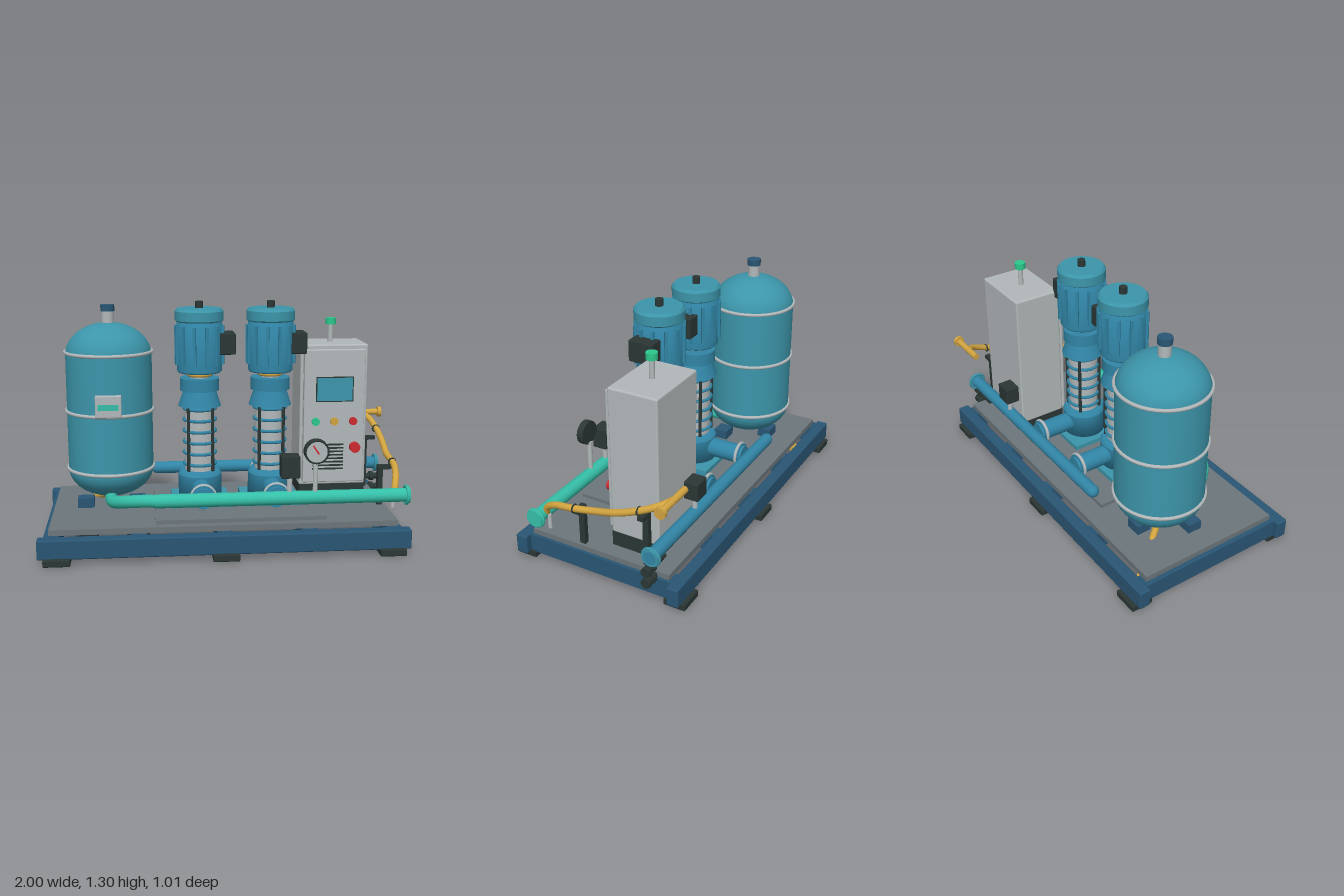
import * as THREE from 'three';
import { RoundedBoxGeometry } from 'three/addons/geometries/RoundedBoxGeometry.js';

const mat = (name, color) => {
  const m = new THREE.MeshStandardMaterial({ color });
  m.name = name;
  return m;
};

export function createModel() {
  const teal = mat('teal', 0x3c95aa), blue = mat('pump blue', 0x3185a6), navy = mat('navy', 0x2a5674);
  const deckGrey = mat('deck grey', 0x6d767b), turquoise = mat('turquoise', 0x35bfa8);
  const green = mat('signal green', 0x2cc88c), grey = mat('light grey', 0xb2b8ba);
  const black = mat('black', 0x2b3735), yellow = mat('yellow', 0xd2a440), red = mat('red', 0xcc2b30);

  const model = new THREE.Group();
  const group = (name, parent = model) => {
    const g = new THREE.Group();
    g.name = name;
    parent.add(g);
    return g;
  };
  const add = (name, geo, m, x, y, z, parent = model) => {
    const mesh = new THREE.Mesh(geo, m);
    mesh.name = name;
    mesh.position.set(x, y, z);
    parent.add(mesh);
    return mesh;
  };
  const box = (name, m, w, h, d, x, y, z, parent, round = 0) =>
    add(name, round ? new RoundedBoxGeometry(w, h, d, 2, round) : new THREE.BoxGeometry(w, h, d), m, x, y, z, parent);
  // Cylinder centred on a point, along the chosen axis
  const cyl = (name, m, r, len, x, y, z, axis = 'y', parent, r2 = r) => {
    const g = new THREE.CylinderGeometry(r, r2, len, 32);
    if (axis === 'x') g.rotateZ(-Math.PI / 2);
    if (axis === 'z') g.rotateX(Math.PI / 2);
    return add(name, g, m, x, y, z, parent);
  };
  const ring = (name, m, r, tube, x, y, z, axis = 'y', parent) => {
    const g = new THREE.TorusGeometry(r, tube, 8, 40);
    if (axis === 'y') g.rotateX(Math.PI / 2);
    if (axis === 'x') g.rotateY(Math.PI / 2);
    return add(name, g, m, x, y, z, parent);
  };
  const pipe = (name, m, r, pts, parent) => add(name, new THREE.TubeGeometry(
    new THREE.CatmullRomCurve3(pts.map(p => new THREE.Vector3(...p))), 48, r, 16), m, 0, 0, 0, parent);
  const lathe = (name, m, pts, x, y, z, parent) =>
    add(name, new THREE.LatheGeometry(pts.map(p => new THREE.Vector2(...p)), 40), m, x, y, z, parent);

  // Skid frame: rails, cross beams, feet and deck
  const frame = group('skidFrame');
  for (const s of [-1, 1]) {
    box('sideRail', navy, 1.95, 0.105, 0.065, -0.025, 0.083, s * 0.452, frame, 0.008);
    for (const x of [-0.9, -0.03, 0.85]) box('foot', black, 0.14, 0.038, 0.12, x, 0.019, s * 0.447, frame, 0.006);
  }
  for (const x of [-0.93, -0.48, -0.03, 0.42, 0.87])
    box('crossBeam', navy, 0.08, 0.1, 0.86, x, 0.083, 0, frame);
  box('deck', deckGrey, 1.84, 0.03, 0.815, -0.025, 0.15, 0, frame);
  box('pumpPlinth', deckGrey, 0.91, 0.02, 0.66, 0.065, 0.175, 0.03, frame);

  // Pressure tank with domed ends
  const tank = group('pressureTank');
  const tx = -0.63, tz = -0.1, R = 0.237, profile = [];
  for (let i = 0; i <= 10; i++) {
    const a = (i / 10) * Math.PI / 2;
    profile.push([R * Math.sin(a), 0.365 - 0.16 * Math.cos(a)]);
  }
  for (let i = 0; i <= 10; i++) {
    const a = (i / 10) * Math.PI / 2;
    profile.push([R * Math.cos(a), 1.0 + 0.18 * Math.sin(a)]);
  }
  lathe('tankShell', teal, profile, tx, 0, tz, tank);
  for (const y of [0.37, 0.695, 1.02]) ring('tankBand', grey, R + 0.002, 0.01, tx, y, tz, 'y', tank);
  cyl('tankNeck', grey, 0.033, 0.08, tx, 1.21, tz, 'y', tank);
  cyl('tankCap', navy, 0.038, 0.035, tx, 1.258, tz, 'y', tank);
  box('namePlate', grey, 0.14, 0.12, 0.04, tx, 0.755, 0.138, tank, 0.006);
  box('namePlateStrip', turquoise, 0.11, 0.032, 0.006, tx, 0.752, 0.16, tank);
  for (const [x, z] of [[-0.77, 0], [-0.485, 0], [-0.63, -0.225]]) {
    box('tankLeg', navy, 0.09, 0.185, 0.08, x, 0.125, z, tank);
    box('tankPad', black, 0.13, 0.038, 0.115, x, 0.019, z, tank, 0.006);
  }
  pipe('drainPipe', yellow, 0.018,
    [[tx, 0.21, tz], [-0.69, 0.18, -0.16], [-0.77, 0.12, -0.27], [-0.81, 0.06, -0.32], [-0.81, 0.01, -0.325]], tank);
  cyl('drainFlange', yellow, 0.033, 0.022, -0.81, 0.012, -0.325, 'y', tank);

  // Two vertical multistage pumps
  for (const px of [-0.135, 0.255]) {
    const p = group('pump');
    p.position.set(px, 0, 0.01);
    box('basePlate', teal, 0.316, 0.025, 0.3, 0, 0.197, -0.005, p);
    lathe('pumpBase', blue, [[0, 0.2], [0.12, 0.2], [0.12, 0.345], [0.12, 0.345], [0.105, 0.37], [0, 0.37]], 0, 0, 0, p);
    cyl('portPipe', blue, 0.053, 0.63, 0, 0.285, 0, 'z', p);
    for (const s of [-1, 1]) {
      cyl('portFlange', blue, 0.064, 0.025, 0, 0.285, s * 0.283 - 0.005, 'z', p);
      ring('portRing', grey, 0.064, 0.009, 0, 0.285, s * 0.283 - 0.005, 'z', p);
    }
    cyl('stageStack', grey, 0.083, 0.38, 0, 0.55, 0, 'y', p);
    for (let i = 0; i < 6; i++) ring('stageRing', blue, 0.087, 0.009, 0, 0.405 + i * 0.062, 0, 'y', p);
    for (let i = 0; i < 4; i++) {
      const a = Math.PI / 4 + i * Math.PI / 2;
      cyl('tieRod', black, 0.009, 0.38, 0.093 * Math.cos(a), 0.55, 0.093 * Math.sin(a), 'y', p);
    }
    cyl('pumpHead', blue, 0.088, 0.09, 0, 0.775, 0, 'y', p, 0.118);
    cyl('headCollar', blue, 0.108, 0.068, 0, 0.85, 0, 'y', p);
    cyl('couplingNeck', grey, 0.05, 0.05, 0, 0.9, 0, 'y', p);
    ring('couplingRing', yellow, 0.06, 0.011, 0, 0.903, 0, 'y', p);
    lathe('motorBody', blue, [[0, 0.915], [0.115, 0.915], [0.123, 0.925], [0.123, 1.2], [0, 1.2]], 0, 0, 0, p);
    for (let i = 0; i < 12; i++) {
      const a = (i + 0.5) * Math.PI / 6;
      const fin = box('motorFin', blue, 0.016, 0.21, 0.018, 0.128 * Math.sin(a), 1.065, 0.128 * Math.cos(a), p);
      fin.rotation.y = a;
    }
    lathe('motorCap', teal, [[0.122, 1.19], [0.132, 1.198], [0.132, 1.198], [0.132, 1.248], [0.132, 1.248],
      [0.12, 1.263], [0.12, 1.263], [0, 1.263]], 0, 0, 0, p);
    cyl('shaftKnob', black, 0.021, 0.04, 0, 1.28, 0, 'y', p);
    box('terminalBox', black, 0.085, 0.115, 0.14, 0.15, 1.073, 0, p, 0.006);
  }

  // Discharge manifold (front) and suction manifold (back)
  const py = 0.285;
  const front = group('dischargeManifold');
  cyl('dischargePipe', turquoise, 0.037, 1.35, 0.285, py, 0.34, 'x', front);
  pipe('tankConnection', turquoise, 0.034, [[-0.38, py, 0.34], [-0.44, py, 0.33], [-0.54, 0.265, 0.27],
    [-0.61, 0.235, 0.17], [tx, 0.225, 0.03], [tx, 0.24, -0.1]], front);
  const back = group('suctionManifold');
  cyl('suctionPipe', blue, 0.035, 1.33, 0.3, py, -0.34, 'x', back);
  add('suctionEnd', new THREE.SphereGeometry(0.035, 20, 12), blue, -0.365, py, -0.34, back);
  for (const [g, m, z] of [[front, turquoise, 0.34], [back, teal, -0.34]]) {
    cyl('endFlange', m, 0.046, 0.02, 0.955, py, z, 'x', g);
    ring('endFlangeRing', m, 0.047, 0.008, 0.95, py, z, 'x', g);
  }
  for (const [x, z, y] of [[0.318, 0.338, 0.46], [0.517, -0.342, 0.437]]) {
    cyl('sensorStem', grey, 0.014, 0.14, x, 0.37, z);
    box('pressureSwitch', black, 0.1, y > 0.45 ? 0.12 : 0.1, 0.085, x, y, z, model, 0.006);
  }

  // Pressure gauge
  const gauge = group('pressureGauge');
  cyl('gaugeStem', grey, 0.013, 0.17, 0.455, 0.4, 0.342, 'y', gauge);
  cyl('gaugeCase', black, 0.066, 0.034, 0.455, 0.54, 0.355, 'z', gauge);
  cyl('gaugeFace', grey, 0.056, 0.006, 0.455, 0.54, 0.373, 'z', gauge);
  ring('gaugeRim', black, 0.06, 0.006, 0.455, 0.54, 0.372, 'z', gauge);
  box('gaugeNeedle', red, 0.008, 0.055, 0.004, 0.45, 0.552, 0.378, gauge).rotation.z = 0.6;

  // Control cabinet
  const cab = group('controlCabinet'), cx = 0.623;
  box('cabinetPlinth', black, 0.375, 0.085, 0.27, cx, 0.207, -0.165, cab);
  box('cabinetBody', grey, 0.38, 0.805, 0.275, cx, 0.648, -0.168, cab, 0.01);
  box('cabinetDoor', grey, 0.345, 0.76, 0.03, cx, 0.645, -0.022, cab, 0.006);
  cyl('doorHinge', grey, 0.01, 0.76, 0.438, 0.645, -0.022, 'y', cab);
  box('screenFrame', black, 0.212, 0.142, 0.006, cx, 0.802, -0.006, cab);
  box('screen', teal, 0.2, 0.13, 0.008, cx, 0.802, -0.004, cab);
  [[green, 0.517], [yellow, 0.623], [red, 0.73]].forEach(([m, x]) =>
    cyl('pushButton', m, 0.022, 0.022, x, 0.62, 0, 'z', cab));
  cyl('emergencyStop', red, 0.029, 0.035, 0.742, 0.47, 0.007, 'z', cab);
  for (let i = 0; i < 8; i++) box('ventSlot', black, 0.175, 0.009, 0.006, 0.592, 0.345 + i * 0.02, -0.005, cab);
  cyl('beaconStem', grey, 0.014, 0.11, cx, 1.1, -0.165, 'y', cab);
  cyl('beacon', green, 0.03, 0.035, cx, 1.168, -0.165, 'y', cab);

  // Yellow hose looping round the end of the skid, with its brackets
  const hose = group('bypassLine');
  pipe('hose', yellow, 0.018, [[0.89, 0.285, 0.32], [0.9, 0.335, 0.3], [0.92, 0.38, 0.23], [0.935, 0.405, 0.12],
    [0.93, 0.425, 0], [0.94, 0.465, -0.14], [0.935, 0.515, -0.27], [0.91, 0.56, -0.37], [0.86, 0.583, -0.42]], hose);
  cyl('hosePipe', yellow, 0.018, 0.22, 0.87, 0.583, -0.42, 'x', hose);
  cyl('hoseFlange', yellow, 0.03, 0.02, 0.988, 0.583, -0.42, 'x', hose);
  cyl('hoseDrain', grey, 0.011, 0.08, 0.89, 0.245, 0.3, 'y', hose);
  for (const [z, h] of [[0.108, 0.39], [-0.268, 0.47]]) {
    box('bracketPost', black, 0.028, h - 0.165, 0.032, 0.865, (h + 0.165) / 2, z, hose);
    box('bracketArm', black, 0.075, 0.022, 0.032, 0.888, h - 0.011, z, hose);
    ring('hoseClamp', black, 0.019, 0.005, 0.933, z > 0 ? 0.407 : 0.513, z, 'z', hose);
  }

  // Cable glands at the end of the deck
  for (const y of [0.14, 0.205]) {
    cyl('cable', black, 0.018, 0.16, 0.89, y, -0.325, 'x');
    cyl('cableGland', black, 0.028, 0.022, 0.928, y, -0.325, 'x');
    cyl('cableEnd', black, 0.026, 0.018, 0.974, y, -0.325, 'x');
  }
  return model;
}
